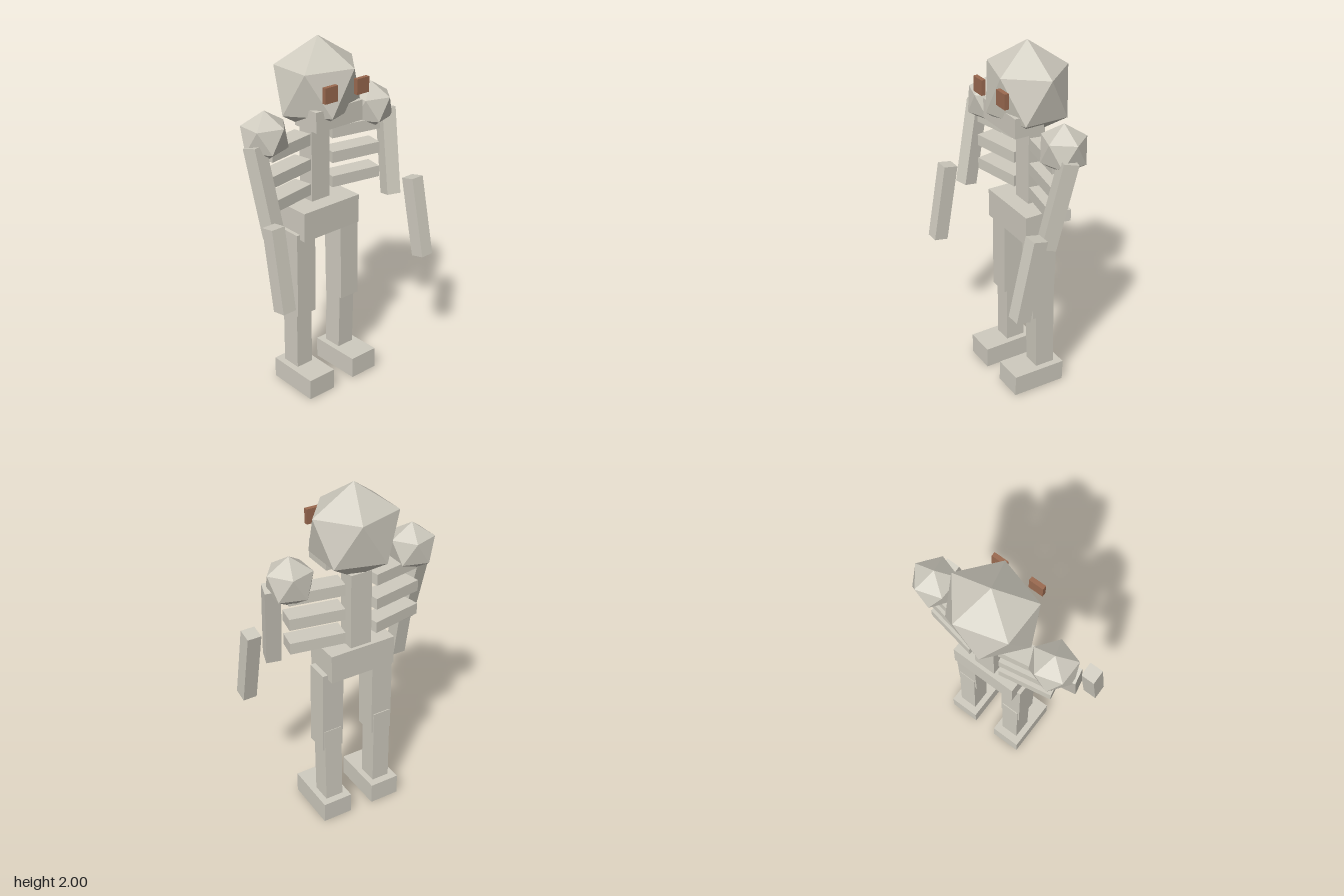
import * as THREE from 'three';

export function createModel() {
  const bone = new THREE.MeshStandardMaterial({ color: 0xcfcbbf, flatShading: true });
  bone.name = 'bone';
  const rust = new THREE.MeshStandardMaterial({ color: 0x9b6a50, flatShading: true });
  rust.name = 'rust brown';

  const model = new THREE.Group();
  model.name = 'skeleton';
  const rad = THREE.MathUtils.degToRad;

  const add = (name, geometry, pos, rot = [0, 0, 0], material = bone) => {
    const mesh = new THREE.Mesh(geometry, material);
    mesh.name = name;
    mesh.position.set(...pos);
    mesh.rotation.set(rad(rot[0]), rad(rot[1]), rad(rot[2]), 'YXZ');
    model.add(mesh);
    return mesh;
  };
  const box = (name, size, pos, rot, material) =>
    add(name, new THREE.BoxGeometry(...size), pos, rot, material);

  // Icosahedron standing on a vertex, with an upper ring vertex towards +x
  const ball = (name, radii, pos) => {
    const geometry = new THREE.IcosahedronGeometry(1, 0);
    geometry.rotateZ(-Math.atan(2 / (1 + Math.sqrt(5))));
    geometry.scale(...radii);
    add(name, geometry, pos);
  };

  // Head
  ball('skull', [0.263, 0.262, 0.236], [0, 1.738, -0.089]);
  box('jaw', [0.315, 0.11, 0.17], [0.003, 1.61, -0.005]);
  box('rightEye', [0.082, 0.083, 0.024], [-0.104, 1.764, 0.129], [0, 0, 0], rust);
  box('leftEye', [0.082, 0.083, 0.024], [0.112, 1.764, 0.123], [0, 0, 0], rust);

  // Trunk
  box('spine', [0.124, 0.46, 0.1], [-0.002, 1.3, -0.115]);
  box('pelvis', [0.387, 0.165, 0.215], [-0.004, 1.018, -0.078]);

  for (const s of [-1, 1]) {
    const side = s > 0 ? 'left' : 'right';

    // Ribs sweep forward towards their outer ends
    [1.178, 1.32, 1.462].forEach((y, i) =>
      box(`${side}Rib${i + 1}`, [0.3, 0.064, 0.11], [s * 0.233, y, -0.086], [0, -s * 10.5, 0]));

    // Arms
    ball(`${side}Shoulder`, [0.137, 0.138, 0.132], [s * 0.363, 1.548, -0.076]);
    box(`${side}UpperArm`, [0.082, 0.485, 0.082], [s * 0.432, 1.288, 0],
      [-12.5, s > 0 ? -15 : 11, -s * 1.5]);

    // Legs
    box(`${side}Thigh`, [0.126, 0.5, 0.132], [s * 0.156, 0.716, -0.073], [s > 0 ? -1.3 : 0, 0, 0]);
    box(`${side}Shin`, [0.105, 0.48, 0.115], [s * 0.157, 0.35, -0.087], [s > 0 ? 1.2 : 0, 0, 0]);
    box(`${side}Foot`, [0.175, 0.122, 0.314], [s * 0.158, s > 0 ? 0.065 : 0.061, -0.032],
      [s > 0 ? -1.3 : 0, 0, 0]);
  }

  // Forearms hang in front at slightly different angles
  box('leftForearm', [0.08, 0.455, 0.082], [0.48, 0.94, 0.198], [-12.6, 0, 0]);
  box('rightForearm', [0.08, 0.455, 0.082], [-0.481, 0.932, 0.17], [-10, 0, 0]);

  return model;
}
